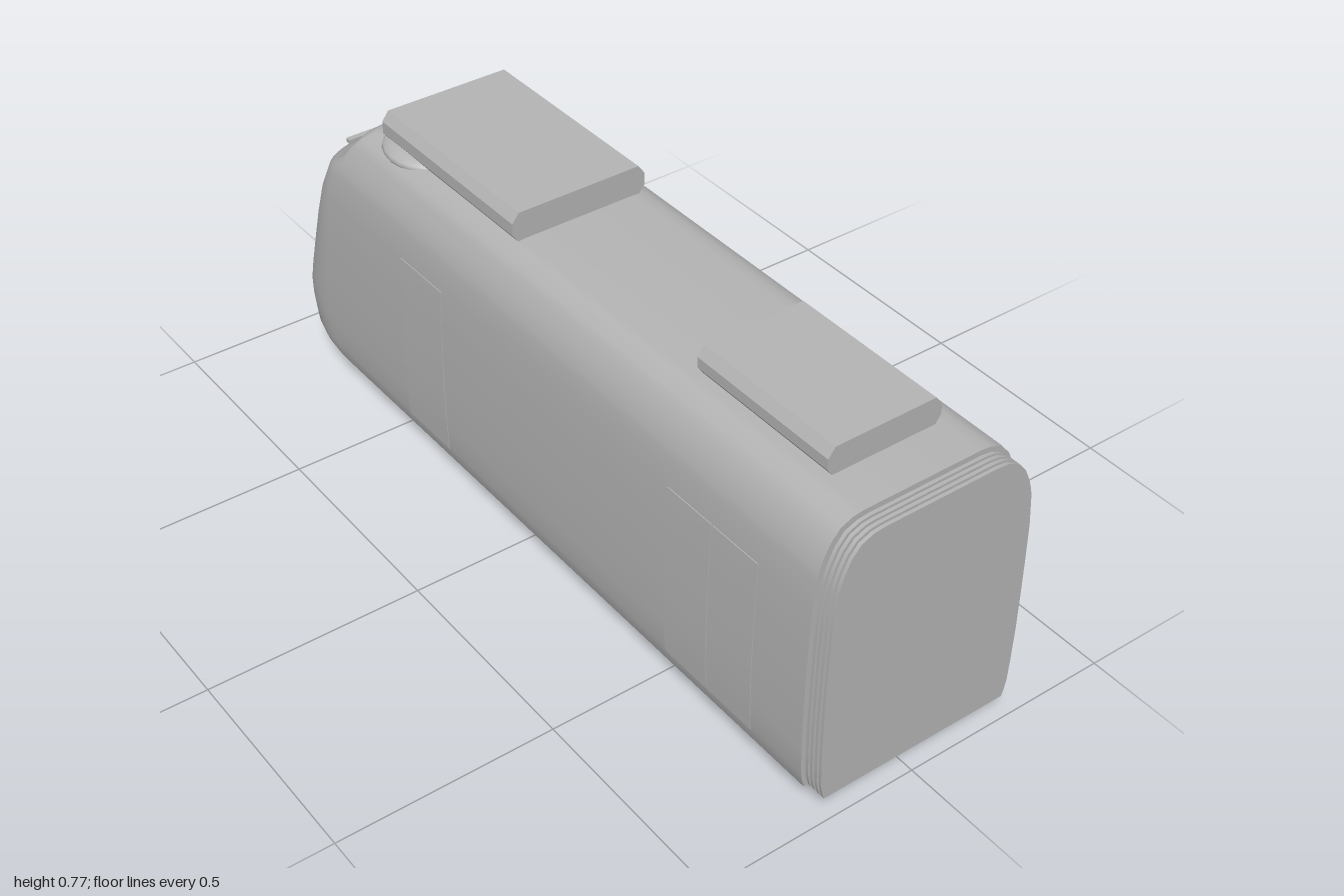
import * as THREE from 'three';
import { toCreasedNormals } from 'three/addons/utils/BufferGeometryUtils.js';

// Horizontal rows of the shell: height, half width, nose reach, depth of nose curve
const ROWS = [
  [0.06, 0.235, 0.955, 0.24], [0.075, 0.24, 0.977, 0.24], [0.1, 0.245, 0.99, 0.24],
  [0.16, 0.248, 1.0, 0.24], [0.2, 0.249, 0.995, 0.23], [0.24, 0.25, 0.98, 0.22],
  [0.33, 0.25, 0.945, 0.2], [0.42, 0.249, 0.905, 0.17], [0.51, 0.247, 0.86, 0.14],
  [0.587, 0.24, 0.81, 0.11], [0.605, 0.236, 0.775, 0.08], [0.63, 0.228, 0.725, 0.05],
  [0.66, 0.214, 0.7, 0.04], [0.685, 0.193, 0.685, 0.04], [0.697, 0.165, 0.668, 0.03],
  [0.7, 0.14, 0.65, 0.03],
];
const GLASS_FROM = 5, GLASS_TO = 9, POWER = 2.3, REAR = 0.95;

function rowAt(y) {
  let i = 0;
  while (i < ROWS.length - 2 && ROWS[i + 1][0] < y) i++;
  const a = ROWS[i], b = ROWS[i + 1], t = (y - a[0]) / (b[0] - a[0]);
  return a.map((v, k) => v + (b[k] - v) * t);
}

// z of the nose surface at a given x and y
function noseZ(x, y) {
  const [, w, reach, depth] = rowAt(y);
  return -(reach - depth) - depth * Math.pow(1 - Math.pow(Math.abs(x) / w, POWER), 1 / POWER);
}

// Side walls, nose and roof as one loft; the windscreen faces form a second group
function shellGeometry() {
  const start = Math.asin(Math.pow(0.52, POWER / 2)), side = 6, front = 18;
  const angles = [];
  for (let i = 0; i < side; i++) angles.push(start * i / side);
  for (let i = 0; i <= front; i++) angles.push(start + (Math.PI - 2 * start) * i / front);
  for (let i = 1; i <= side; i++) angles.push(Math.PI - start + start * i / side);

  const first = ROWS[0], last = ROWS[ROWS.length - 1];
  const rows = [[first[0], 0, first[2], first[3]], ...ROWS, [last[0], 0, last[2], last[3]]];
  const pos = [], body = [], glass = [], n = angles.length + 2;
  for (const [y, w, reach, depth] of rows) {
    pos.push(w, y, REAR);
    for (const a of angles) {
      const c = Math.cos(a), s = Math.max(0, Math.sin(a));
      pos.push(w * Math.sign(c) * Math.pow(Math.abs(c), 2 / POWER), y,
        -(reach - depth) - depth * Math.pow(s, 2 / POWER));
    }
    pos.push(-w, y, REAR);
  }
  for (let j = 0; j < rows.length - 1; j++) {
    for (let i = 0; i < n - 1; i++) {
      const a = j * n + i, b = a + 1, c = b + n, d = a + n;
      const isGlass = j > GLASS_FROM && j <= GLASS_TO && i > side && i <= side + front;
      (isGlass ? glass : body).push(a, b, c, a, c, d);
    }
  }
  const g = new THREE.BufferGeometry();
  g.setAttribute('position', new THREE.Float32BufferAttribute(pos, 3));
  g.setIndex([...body, ...glass]);
  const out = toCreasedNormals(g, 0.6);
  out.clearGroups();
  out.addGroup(0, body.length, 0);
  out.addGroup(body.length, glass.length, 1);
  return out;
}

// Slice of the carriage section, pulled in by inset
function sectionSlice(inset, z0, z1) {
  const right = ROWS.map(([y, w]) => new THREE.Vector2(
    w * (1 - inset / 0.25), 0.38 + (y - 0.38) * (1 - inset / 0.32)));
  const left = right.map(p => new THREE.Vector2(-p.x, p.y)).reverse();
  const g = new THREE.ExtrudeGeometry(new THREE.Shape([...right, ...left]),
    { depth: z1 - z0, bevelEnabled: false });
  g.translate(0, 0, z0);
  return toCreasedNormals(g, 0.6);
}

// Roof box with chamfered long edges
function roofBox(half, y0, y1, z0, z1) {
  const c = 0.016, d = 0.022;
  const s = new THREE.Shape([
    [-half + c, y0], [half - c, y0], [half, y0 + d], [half, y1 - d],
    [half - c, y1], [-half + c, y1], [-half, y1 - d], [-half, y0 + d],
  ].map(p => new THREE.Vector2(...p)));
  const g = new THREE.ExtrudeGeometry(s, { depth: z1 - z0, bevelEnabled: false });
  g.translate(0, 0, z0);
  return g;
}

// Thin door leaf that follows the curve of the side wall
function doorLeaf(side, y0, y1, z0, z1) {
  const g = new THREE.BoxGeometry(0.004, y1 - y0, z1 - z0, 1, 10, 1);
  g.translate(0, (y0 + y1) / 2, (z0 + z1) / 2);
  const p = g.attributes.position;
  for (let i = 0; i < p.count; i++) p.setX(i, p.getX(i) + side * rowAt(p.getY(i))[1]);
  g.computeVertexNormals();
  return g;
}

export function createModel() {
  const group = new THREE.Group();
  const paint = new THREE.MeshStandardMaterial({ color: 0xb4b4b4 });
  paint.name = 'grey paint';
  const glass = new THREE.MeshStandardMaterial({ color: 0x384047 });
  glass.name = 'dark glass';
  const add = (name, geometry, material = paint) => {
    const m = new THREE.Mesh(geometry, material);
    m.name = name;
    group.add(m);
    return m;
  };

  // Carriage and its rear wall
  add('carriageShell', shellGeometry(), [paint, glass]);
  add('rearWall', sectionSlice(0.0005, REAR - 0.02, REAR));

  // Gangway bellows at the coupling end
  for (let i = 0; i < 4; i++) {
    const z = REAR + i * 0.0125;
    add('bellowsFold', sectionSlice(0.013, z, z + 0.005));
    add('bellowsRib', sectionSlice(0.007, z + 0.005, z + 0.0125));
  }

  // Roof equipment and the fairing ahead of it
  add('rearRoofBox', roofBox(0.136, 0.695, 0.763, 0.47, 0.845));
  add('frontRoofBox', roofBox(0.167, 0.695, 0.767, -0.6, -0.1));
  const fairing = add('roofFairing', new THREE.SphereGeometry(1, 32, 16));
  fairing.scale.set(0.195, 0.036, 0.15);
  fairing.position.set(0, 0.692, -0.53);

  // Doors on both sides
  for (const s of [-1, 1]) {
    add('rearDoorLeaf', doorLeaf(s, 0.095, 0.52, 0.667, 0.8));
    add('rearDoorLeaf', doorLeaf(s, 0.095, 0.52, 0.53, 0.663));
    add('frontDoor', doorLeaf(s, 0.095, 0.52, -0.42, -0.26));
  }

  // Headlamp clusters
  for (const s of [-1, 1]) {
    for (const [x, y] of [[0.115, 0.175], [0.133, 0.183], [0.15, 0.175]]) {
      const lamp = add('headlamp', new THREE.SphereGeometry(0.008, 12, 8));
      lamp.position.set(s * x, y, noseZ(x, y) + 0.002);
    }
  }

  // Bar across the top of the windscreen
  add('windscreenBar', new THREE.BoxGeometry(0.28, 0.01, 0.014)).position.set(0, 0.583, -0.81);

  // Wheels with inner flanges, and axles
  for (const z of [0.355, -0.025]) {
    for (const s of [-1, 1]) {
      const wheel = add('wheelTread', new THREE.CylinderGeometry(0.053, 0.055, 0.018, 32));
      wheel.rotation.z = -s * Math.PI / 2;
      wheel.position.set(s * 0.162, 0.06, z);
      const flange = add('wheelFlange', new THREE.CylinderGeometry(0.06, 0.06, 0.009, 32));
      flange.rotation.z = Math.PI / 2;
      flange.position.set(s * 0.15, 0.06, z);
    }
    const axle = add('axle', new THREE.CylinderGeometry(0.007, 0.007, 0.3, 12));
    axle.rotation.z = Math.PI / 2;
    axle.position.set(0, 0.062, z);
  }
  return group;
}
